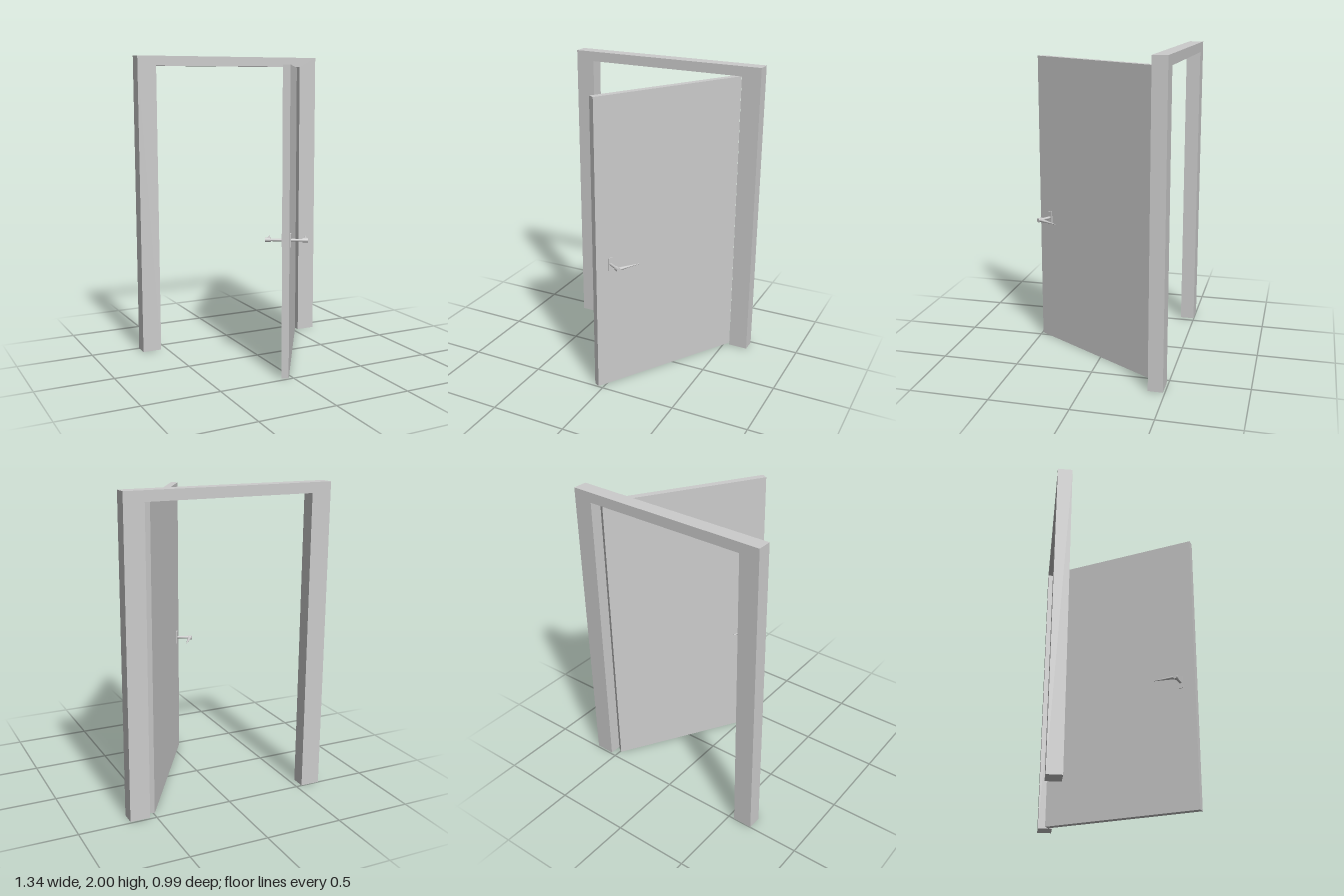
import * as THREE from 'three';

const material = new THREE.MeshStandardMaterial({ color: 0xcccccc });

function add(parent, name, geometry, x = 0, y = 0, z = 0) {
  const mesh = new THREE.Mesh(geometry, material);
  mesh.name = name;
  mesh.position.set(x, y, z);
  parent.add(mesh);
  return mesh;
}

export function createModel() {
  const model = new THREE.Group();

  // Door frame: one arch-shaped outline, open at the bottom, turned very slightly
  const W = 0.668, H = 2, w = 0.54, h = 1.935, depth = 0.093;
  const outline = new THREE.Shape([
    [-W, 0], [-w, 0], [-w, h], [w, h], [w, 0], [W, 0], [W, H], [-W, H],
  ].map(([x, y]) => new THREE.Vector2(x, y)));
  const frameGeometry = new THREE.ExtrudeGeometry(outline, { depth, bevelEnabled: false });
  frameGeometry.translate(0, 0, -depth / 2);
  add(model, 'doorFrame', frameGeometry, 0, 0, -0.447).rotation.y = -0.0085;

  // Open door: local x runs from the free edge to the hinges, z is the door's normal
  const door = new THREE.Group();
  door.name = 'door';
  door.position.set(-0.052, 0, 0.4825);
  door.rotation.y = 1.019;
  model.add(door);
  const length = 1.074, height = 1.931, thickness = 0.045;
  add(door, 'doorLeaf', new THREE.BoxGeometry(length, height, thickness), length / 2, height / 2, 0);

  // A handle on each face
  for (const side of [1, -1]) {
    const handle = new THREE.Group();
    handle.name = side > 0 ? 'frontHandle' : 'backHandle';
    handle.position.set(0.1, 0.86, 0);
    door.add(handle);

    add(handle, 'backplate', new THREE.BoxGeometry(0.034, 0.084, 0.008), 0, 0, side * (thickness / 2 + 0.003));

    // Spindle and the wider collar at its end
    const spindle = new THREE.CylinderGeometry(0.009, 0.009, 0.1, 16).rotateX(Math.PI / 2);
    add(handle, 'spindle', spindle, 0, 0, side * 0.07);
    const collar = new THREE.CylinderGeometry(0.014, 0.014, 0.034, 16).rotateX(Math.PI / 2);
    add(handle, 'collar', collar, 0, 0, side * 0.115);

    // Lever tapering towards the hinges, flattened in height
    const lever = new THREE.CylinderGeometry(0.002, 0.015, 0.152, 16).rotateZ(-Math.PI / 2);
    lever.scale(1, 0.75, 1);
    add(handle, 'lever', lever, 0.076, 0, side * 0.115);
  }

  return model;
}
